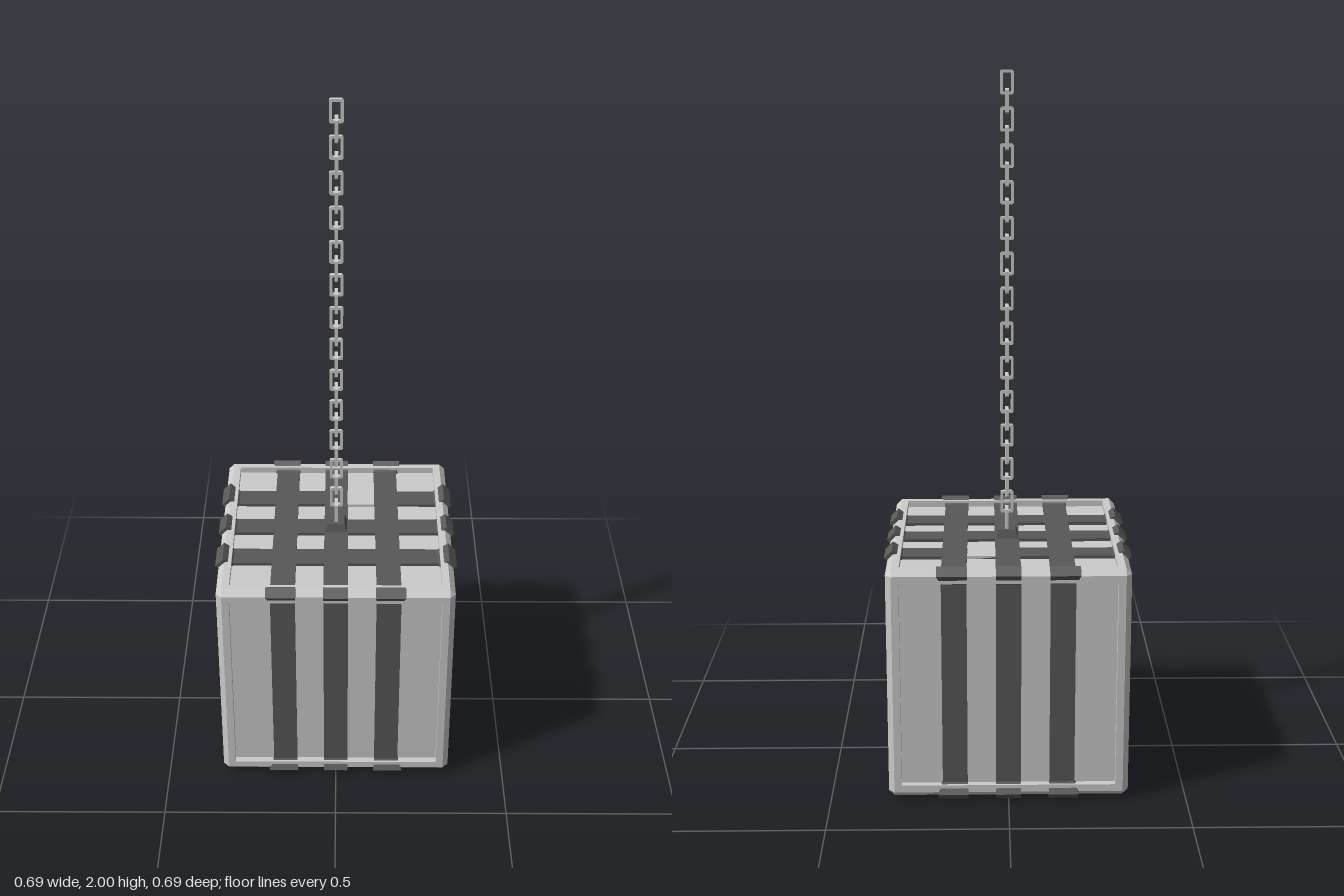
import * as THREE from 'three';

const CY = 0.348;      // height of the cube's centre
const FRAME = 0.337;   // outer face of the frame
const EDGE = 0.321;    // where the bevel starts
const PANEL = 0.3;     // half size of the recessed panel
const RECESS = 0.318;  // depth level of the panel
const STRAP = 0.327;   // strap surface level

const grey = new THREE.MeshStandardMaterial({ color: 0xcccccc, flatShading: true });
const dark = new THREE.MeshStandardMaterial({ color: 0x585858, flatShading: true });

function mesh(name, geometry, material, x = 0, y = 0, z = 0) {
  const m = new THREE.Mesh(geometry, material);
  m.name = name;
  m.position.set(x, y, z);
  return m;
}

// Adds a convex polygon, wound so that it faces the direction "out"
function addFace(list, out, pts) {
  const n = pts[1].clone().sub(pts[0]).cross(pts[2].clone().sub(pts[0]));
  const p = n.dot(out) < 0 ? [...pts].reverse() : pts;
  for (let i = 1; i < p.length - 1; i++) list.push(p[0], p[i], p[i + 1]);
}

function toGeometry(list) {
  const g = new THREE.BufferGeometry().setFromPoints(list);
  g.computeVertexNormals();
  return g;
}

// Cube with bevelled edges and a recessed panel on every side
function bodyGeometry() {
  const list = [];
  const mid = (FRAME + EDGE) / 2;
  for (let axis = 0; axis < 3; axis++) {
    for (const s of [-1, 1]) {
      const at = (u, v, d) => {
        const p = new THREE.Vector3();
        p.setComponent(axis, d * s);
        p.setComponent((axis + 1) % 3, u);
        p.setComponent((axis + 2) % 3, v);
        return p;
      };
      const out = at(0, 0, 1);
      addFace(list, out, [at(-PANEL, -PANEL, RECESS), at(PANEL, -PANEL, RECESS),
        at(PANEL, PANEL, RECESS), at(-PANEL, PANEL, RECESS)]);
      for (let k = 0; k < 4; k++) {
        const c = Math.round(Math.cos(k * Math.PI / 2)), n = Math.round(Math.sin(k * Math.PI / 2));
        // r runs away from the panel centre, t along its edge
        const rt = (r, t, d) => at(r * c - t * n, r * n + t * c, d);
        const strip = (dir, r0, d0, t0, r1, d1, t1) => addFace(list, dir,
          [rt(r0, -t0, d0), rt(r0, t0, d0), rt(r1, t1, d1), rt(r1, -t1, d1)]);
        strip(rt(-1, 0, 0), PANEL, RECESS, PANEL, PANEL, FRAME, PANEL);
        strip(out, PANEL, FRAME, PANEL, EDGE, FRAME, EDGE);
        strip(out, EDGE, FRAME, EDGE, mid, mid, EDGE);
      }
    }
  }
  // cut corners
  for (const x of [-1, 1]) for (const y of [-1, 1]) for (const z of [-1, 1]) {
    addFace(list, new THREE.Vector3(x, y, z), [
      new THREE.Vector3(FRAME * x, EDGE * y, EDGE * z),
      new THREE.Vector3(EDGE * x, FRAME * y, EDGE * z),
      new THREE.Vector3(EDGE * x, EDGE * y, FRAME * z)]);
  }
  return toGeometry(list);
}

// Band around the cube in the xy plane; it rises and flares over the edges
function strapGeometry(offset) {
  const side = Math.sign(offset);
  const loop = [];
  for (let k = 0; k < 4; k++) {
    const c = Math.round(Math.cos(k * Math.PI / 2)), s = Math.round(Math.sin(k * Math.PI / 2));
    for (const [u, v, flare] of [[0.295, STRAP, 0], [0.325, 0.347, 1], [0.347, 0.325, 1], [STRAP, 0.295, 0]]) {
      const x = u * c + v * s, y = -u * s + v * c;
      let lo = offset - 0.035, hi = offset + 0.035;
      if (flare && side) {
        lo -= side < 0 ? 0.012 : 0.002;
        hi += side > 0 ? 0.012 : 0.002;
      }
      loop.push({ x, y, lo, hi });
    }
  }
  const clampIn = (a) => THREE.MathUtils.clamp(a, -0.305, 0.305);
  const list = [];
  loop.forEach((a, i) => {
    const b = loop[(i + 1) % loop.length];
    const P = (p, z) => new THREE.Vector3(p.x, p.y, z);
    const Q = (p, z) => new THREE.Vector3(clampIn(p.x), clampIn(p.y), z);
    addFace(list, new THREE.Vector3(a.x + b.x, a.y + b.y, 0), [P(a, a.lo), P(b, b.lo), P(b, b.hi), P(a, a.hi)]);
    for (const [key, dir] of [['lo', -1], ['hi', 1]]) {
      const out = new THREE.Vector3(0, 0, dir);
      addFace(list, out, [P(a, a[key]), P(b, b[key]), Q(b, b[key])]);
      addFace(list, out, [P(a, a[key]), Q(b, b[key]), Q(a, a[key])]);
    }
  });
  return toGeometry(list);
}

// Flat rectangular ring with clipped corners
function linkGeometry() {
  const ring = (path, w, h, c) => {
    path.moveTo(-w + c, -h);
    for (const [x, y] of [[w - c, -h], [w, -h + c], [w, h - c], [w - c, h], [-w + c, h], [-w, h - c], [-w, -h + c]]) {
      path.lineTo(x, y);
    }
    path.closePath();
    return path;
  };
  const shape = ring(new THREE.Shape(), 0.019, 0.033, 0.004);
  shape.holes.push(ring(new THREE.Path(), 0.011, 0.025, 0.002));
  return new THREE.ExtrudeGeometry(shape, { depth: 0.01, bevelEnabled: false }).translate(0, 0, -0.005);
}

export function createModel() {
  const model = new THREE.Group();
  model.name = 'hangingCrate';
  model.add(mesh('body', bodyGeometry(), grey, 0, CY, 0));

  // three straps each way around the cube
  const straps = new THREE.Group();
  straps.name = 'straps';
  for (const offset of [-0.15, 0, 0.15]) {
    const geometry = strapGeometry(offset);
    straps.add(mesh('crossStrap', geometry, dark, 0, CY, 0));
    const turned = mesh('lengthStrap', geometry, dark, 0, CY, 0);
    turned.rotation.y = Math.PI / 2;
    straps.add(turned);
  }
  model.add(straps);

  // bare section of one strap on the top
  model.add(mesh('bareStrapSection', new THREE.BoxGeometry(0.08, 0.01, 0.072), grey, 0.074, CY + STRAP - 0.0045, -0.149));

  // tapered mount for the chain
  const mount = new THREE.CylinderGeometry(0.025 * Math.SQRT2, 0.033 * Math.SQRT2, 0.028, 4).rotateY(Math.PI / 4);
  model.add(mesh('chainMount', mount, dark, 0, 0.686, 0));

  // chain of links, each a quarter turn from the last
  const chain = new THREE.Group();
  chain.name = 'chain';
  const link = linkGeometry();
  for (let i = 0; i < 26; i++) {
    const m = mesh('chainLink', link, grey, 0, 1.967 - i * 0.0495, -0.004);
    m.rotation.y = (i % 2) * Math.PI / 2;
    chain.add(m);
  }
  model.add(chain);
  return model;
}
